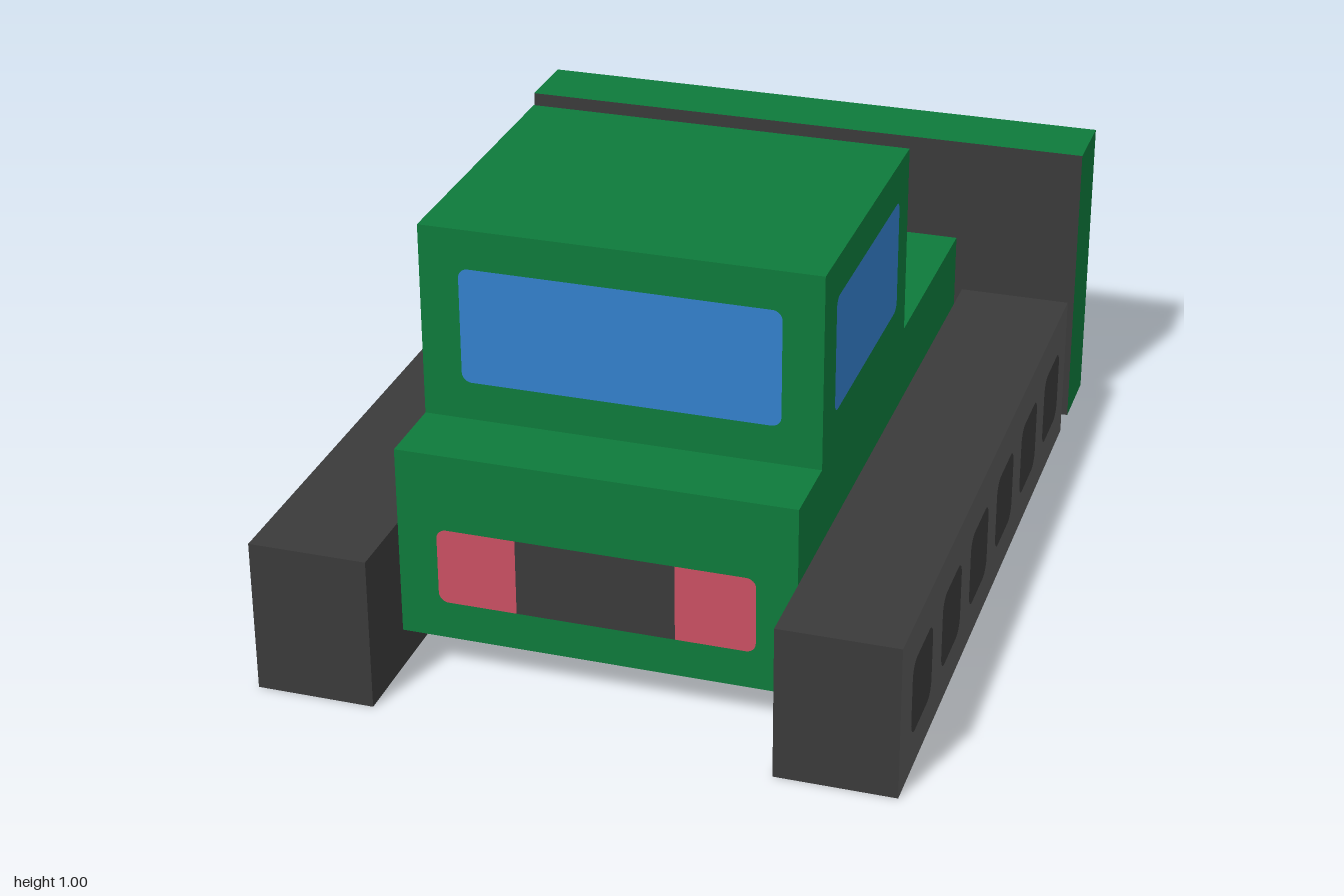
import * as THREE from 'three';

const U = 1 / 11; // one modelling unit

const paint = (name, color) => {
  const m = new THREE.MeshStandardMaterial({ color });
  m.name = name;
  return m;
};

export function createModel() {
  const model = new THREE.Group();
  model.name = 'bulldozer';

  const green = paint('bodyGreen', 0x0e7a3b);
  const dark = paint('darkGrey', 0x3a3a3a);
  const grey = paint('trackGrey', 0x595959);
  const blue = paint('windowBlue', 0x3380cc);
  const red = paint('lightRed', 0xc94f62);

  // Box from min and max corners, in units
  function box(name, [x0, y0, z0], [x1, y1, z1], material) {
    const geo = new THREE.BoxGeometry((x1 - x0) * U, (y1 - y0) * U, (z1 - z0) * U);
    const mesh = new THREE.Mesh(geo, material);
    mesh.name = name;
    mesh.position.set((x0 + x1) / 2 * U, (y0 + y1) / 2 * U, (z0 + z1) / 2 * U);
    model.add(mesh);
  }

  // Rectangle with separate left and right corner radii
  function panelShape(w, h, rl, rr = rl) {
    const s = new THREE.Shape();
    const a = w / 2, b = h / 2;
    s.moveTo(-a + rl, -b);
    s.lineTo(a - rr, -b);
    if (rr) s.absarc(a - rr, -b + rr, rr, -Math.PI / 2, 0);
    s.lineTo(a, b - rr);
    if (rr) s.absarc(a - rr, b - rr, rr, 0, Math.PI / 2);
    s.lineTo(-a + rl, b);
    if (rl) s.absarc(-a + rl, b - rl, rl, Math.PI / 2, Math.PI);
    s.lineTo(-a, -b + rl);
    if (rl) s.absarc(-a + rl, -b + rl, rl, Math.PI, Math.PI * 1.5);
    return s;
  }

  // Flat plate lying just outside a face; turn is its heading about y
  function plate(name, shape, [x, y, z], turn, material) {
    const geo = new THREE.ShapeGeometry(shape, 5);
    geo.scale(U, U, U);
    const mesh = new THREE.Mesh(geo, material);
    mesh.name = name;
    mesh.rotation.y = turn;
    mesh.position.set(x * U + Math.sin(turn) * 0.002, y * U, z * U + Math.cos(turn) * 0.002);
    model.add(mesh);
  }

  // Hull and cab
  box('hull', [-5, 1, -7], [5, 6, 9], green);
  box('cab', [-5, 6, -1], [5, 11, 7], green);

  // Cab windows
  plate('frontWindow', panelShape(8, 3, 0.25), [0, 8.5, 7], 0, blue);
  plate('rearWindow', panelShape(8, 3, 0.25), [0, 8.5, -1], Math.PI, blue);

  // Grille between the lights
  plate('grille', panelShape(4, 2, 0), [0, 3, 9], 0, dark);
  plate('leftLight', panelShape(2, 2, 0, 0.25), [3, 3, 9], 0, red);
  plate('rightLight', panelShape(2, 2, 0.25, 0), [-3, 3, 9], 0, red);

  // Blade: dark inner face, green rim
  box('blade', [-8, 0, -11], [8, 8, -9], [green, green, green, green, dark, green]);
  plate('bladeCentre', panelShape(8, 8, 0), [0, 4, -11], Math.PI, dark);

  // Parts repeated on both sides
  for (const [side, s] of [['left', 1], ['right', -1]]) {
    const turn = s * Math.PI / 2;
    plate(side + 'Window', panelShape(6, 3, 0.25), [5 * s, 8.5, 3], turn, blue);

    // Track with a lighter outer face and six wheel openings
    const faces = s > 0 ? [grey, dark, dark, dark, dark, dark] : [dark, grey, dark, dark, dark, dark];
    box(side + 'Track', [s > 0 ? 5 : -8, 0, -8], [s > 0 ? 8 : -5, 4, 11], faces);
    for (let i = 0; i < 6; i++) {
      plate(side + 'Wheel' + (i + 1), panelShape(2, 2, 0.4), [8 * s, 2, 9 - 3 * i], turn, dark);
    }

    // Blade arm and grey stepped bands on the blade's outer face
    box(side + 'Arm', [s > 0 ? 2 : -4, 2, -9], [s > 0 ? 4 : -2, 4, -7], dark);
    plate(side + 'BladeBand', panelShape(2, 8, 0), [5 * s, 4, -11], Math.PI, grey);
    plate(side + 'BladeTab', panelShape(2, 4, 0), [7 * s, 4, -11], Math.PI, grey);
  }

  return model;
}
